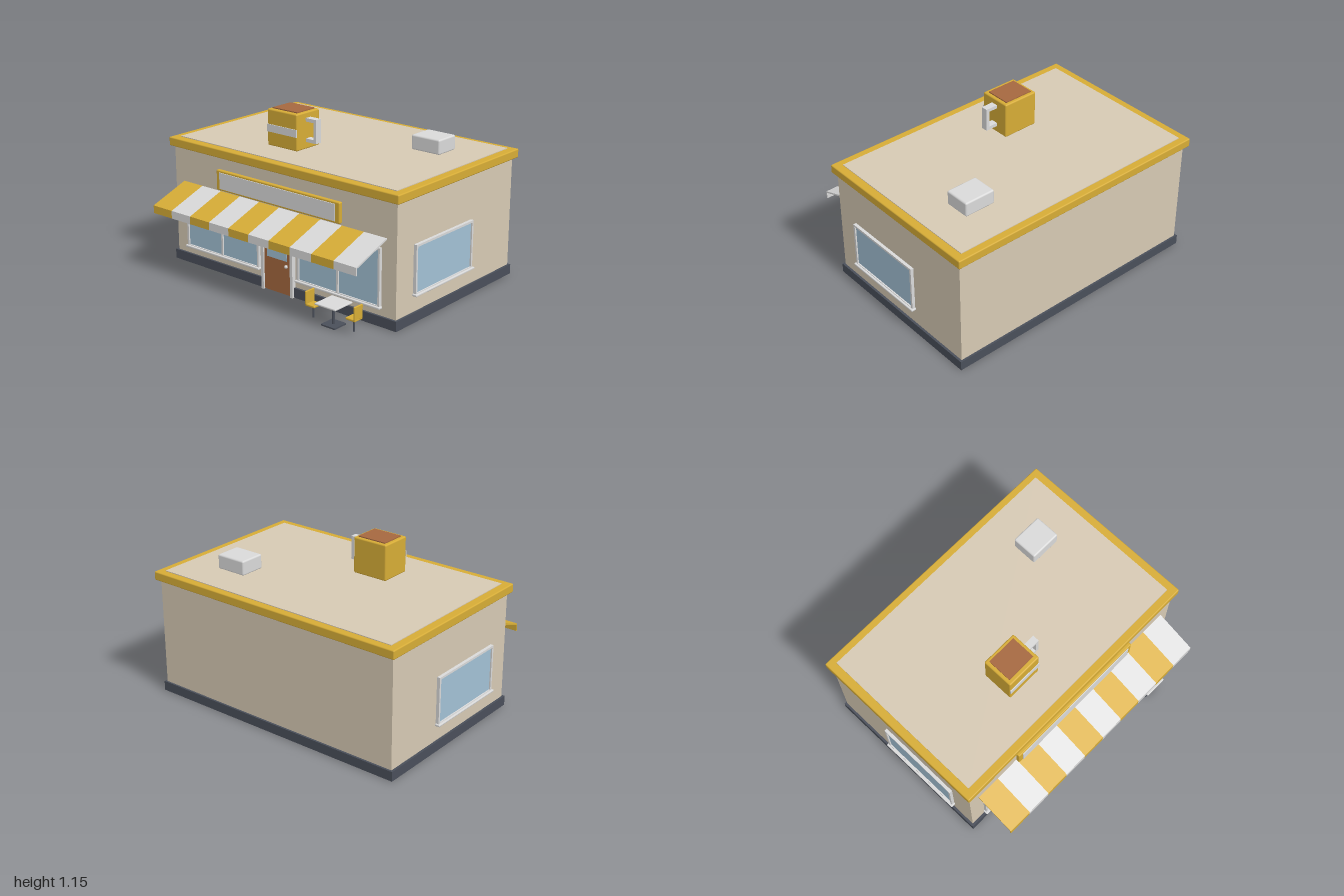
import * as THREE from 'three';
import { RoundedBoxGeometry } from 'three/addons/geometries/RoundedBoxGeometry.js';

const mat = (name, color) => {
  const m = new THREE.MeshStandardMaterial({ color });
  m.name = name;
  return m;
};

export function createModel() {
  const beige = mat('beige wall', 0xd6c9b3);
  const gold = mat('gold trim', 0xd6ac36);
  const white = mat('light grey', 0xd9d9d9);
  const brown = mat('brown wood', 0xa5683f);
  const glass = mat('glass blue', 0xa2c0d4);
  const dark = mat('dark slate', 0x4a4f5a);

  const model = new THREE.Group();
  model.name = 'cafe';

  // Box given by its two opposite corners; r > 0 rounds the edges
  function box(parent, name, m, x0, x1, y0, y1, z0, z1, r = 0) {
    const s = [x1 - x0, y1 - y0, z1 - z0];
    const geo = r ? new RoundedBoxGeometry(...s, 2, r) : new THREE.BoxGeometry(...s);
    const mesh = new THREE.Mesh(geo, m);
    mesh.name = name;
    mesh.position.set((x0 + x1) / 2, (y0 + y1) / 2, (z0 + z1) / 2);
    parent.add(mesh);
    return mesh;
  }
  function group(name, parent = model) {
    const g = new THREE.Group();
    g.name = name;
    parent.add(g);
    return g;
  }

  // Building shell
  box(model, 'floor', beige, -0.97, 0.97, 0, 0.01, -0.755, 0.5);
  box(model, 'plinth', dark, -0.98, 0.98, 0.003, 0.07, -0.766, 0.511);
  box(model, 'walls', beige, -0.964, 0.964, 0.07, 0.835, -0.752, 0.495);
  box(model, 'roofTrim', gold, -0.992, 0.992, 0.83, 0.891, -0.785, 0.524, 0.008);
  box(model, 'roof', beige, -0.935, 0.935, 0.885, 0.896, -0.735, 0.467);

  // Framed window facing +z, centred on x = 0, with its back on z = 0
  function makeWindow(name, w, y0, y1, panes, sillDepth) {
    const g = group(name);
    const h = w / 2, t = 0.015, d = 0.022;
    box(g, 'glass', glass, -h + t / 2, h - t / 2, y0 + t / 2, y1 - t / 2, 0, 0.012);
    for (let i = 0; i <= panes; i++) {
      const x = -h + t / 2 + (i * (w - t)) / panes;
      box(g, 'frameUpright', white, x - t / 2, x + t / 2, y0, y1, 0, d);
    }
    for (const y of [y0, y1 - t]) box(g, 'frameRail', white, -h, h, y, y + t, 0, d);
    box(g, 'sill', white, -h - 0.01, h + 0.01, y0 - 0.004, y0 + 0.011, 0, sillDepth, 0.005);
    return g;
  }
  for (const s of [-1, 1]) {
    makeWindow('frontWindow', 0.68, 0.125, 0.52, 2, 0.036).position.set(s * 0.51, 0, 0.495);
    const side = makeWindow('sideWindow', 0.613, 0.185, 0.52, 1, 0.036);
    side.position.set(s * 0.964, 0, 0.018);
    side.rotation.y = (s * Math.PI) / 2;
  }

  // Door
  const door = group('door');
  box(door, 'doorPanel', brown, -0.117, 0.117, 0.005, 0.435, 0.49, 0.515);
  box(door, 'doorGlass', glass, -0.09, 0.085, 0.24, 0.402, 0.512, 0.518);
  for (const s of [-1, 1])
    box(door, 'doorPost', white, s * 0.128 - 0.011, s * 0.128 + 0.011, 0, 0.45, 0.49, 0.526);
  box(door, 'doorHead', white, -0.139, 0.139, 0.432, 0.45, 0.49, 0.526);
  const knob = new THREE.Mesh(new THREE.SphereGeometry(0.012, 12, 8), white);
  knob.name = 'doorKnob';
  knob.position.set(0.082, 0.206, 0.523);
  door.add(knob);

  // Blank sign board
  box(model, 'signFrame', gold, -0.538, 0.536, 0.605, 0.746, 0.495, 0.526, 0.008);
  box(model, 'signPanel', white, -0.505, 0.502, 0.619, 0.732, 0.523, 0.532);

  // Striped awning: one bent strip (slope and valance) per stripe
  const awning = group('awning');
  const profile = new THREE.Shape(
    [[0.493, 0.578], [0.778, 0.475], [0.778, 0.43], [0.785, 0.43], [0.785, 0.484], [0.493, 0.59]]
      .map(([z, y]) => new THREE.Vector2(z, y)));
  const stripeWidth = 0.177;
  const stripeGeo = new THREE.ExtrudeGeometry(profile, { depth: stripeWidth, bevelEnabled: false });
  stripeGeo.rotateY(-Math.PI / 2);
  for (let i = 0; i < 10; i++) {
    const stripe = new THREE.Mesh(stripeGeo, i % 2 ? white : gold);
    stripe.name = 'awningStripe';
    stripe.position.x = -0.885 + (i + 1) * stripeWidth;
    awning.add(stripe);
  }

  // Square rooftop mug
  const mug = group('rooftopMug');
  box(mug, 'mugBody', gold, -0.328, -0.065, 0.896, 1.147, 0.018, 0.244, 0.01);
  box(mug, 'mugDrink', brown, -0.304, -0.088, 1.14, 1.154, 0.04, 0.215);
  box(mug, 'mugBand', white, -0.327, -0.066, 0.992, 1.044, 0.242, 0.25);
  for (const y of [0.945, 1.084])
    box(mug, 'handleArm', white, -0.07, 0.025, y, y + 0.024, 0.107, 0.155);
  box(mug, 'handleGrip', white, 0.001, 0.025, 0.945, 1.108, 0.107, 0.155);

  // Roof vent unit
  box(model, 'roofUnit', white, 0.463, 0.69, 0.893, 0.996, -0.485, -0.3, 0.012);

  // Pavement table and two chairs
  const cx = 0.614, cz = 0.672;
  function post(parent, name, r, x, y0, y1) {
    const m = new THREE.Mesh(new THREE.CylinderGeometry(r, r, y1 - y0, 12), dark);
    m.name = name;
    m.position.set(x, (y0 + y1) / 2, cz);
    parent.add(m);
  }
  const table = group('table');
  box(table, 'tableTop', white, cx - 0.084, cx + 0.084, 0.14, 0.153, cz - 0.084, cz + 0.084, 0.005);
  post(table, 'tablePost', 0.01, cx, 0.005, 0.142);
  box(table, 'tableFoot', dark, cx - 0.056, cx + 0.056, 0, 0.01, cz - 0.056, cz + 0.056);
  for (const s of [-1, 1]) {
    const chair = group('chair');
    const x = cx + s * 0.164;
    box(chair, 'chairSeat', gold, x - 0.038, x + 0.038, 0.086, 0.101, cz - 0.038, cz + 0.038, 0.005);
    const b = x + s * 0.032;
    box(chair, 'chairBack', gold, b - 0.006, b + 0.006, 0.096, 0.185, cz - 0.04, cz + 0.04, 0.004);
    post(chair, 'chairPost', 0.007, x, 0.005, 0.088);
  }

  return model;
}
